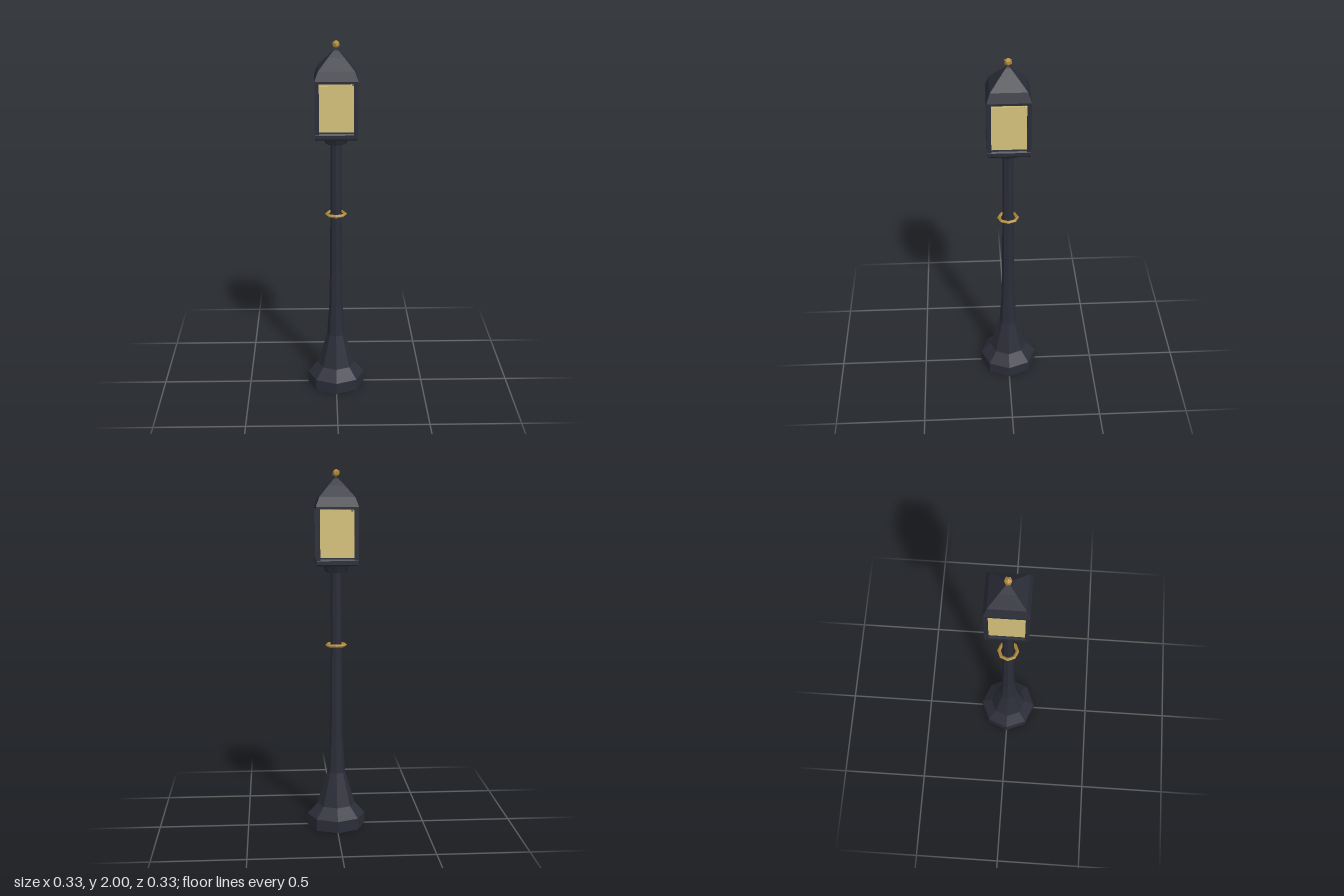
import * as THREE from 'three';

const paint = (color) => new THREE.MeshStandardMaterial({ color, flatShading: true });

export function createModel() {
  const lamp = new THREE.Group();
  lamp.name = 'streetLamp';
  const iron = paint(0x2b2d38), brass = paint(0xb08a3a), amber = paint(0xd6c27c);

  const add = (name, geometry, material, parent = lamp) => {
    const mesh = new THREE.Mesh(geometry, material);
    mesh.name = name;
    parent.add(mesh);
    return mesh;
  };
  // Profiles run from bottom to top as [radius, height]
  const octagonal = (profile) =>
    new THREE.LatheGeometry(profile.map(([r, y]) => new THREE.Vector2(r, y)), 8);
  // Same idea with a square plan, given as [half width, height]
  const square = (profile) =>
    new THREE.LatheGeometry(
      profile.map(([w, y]) => new THREE.Vector2(w * Math.SQRT2, y)), 4, Math.PI / 4);

  // Foot and flared column
  add('column', octagonal([
    [0, 0], [0.163, 0], [0.163, 0.065], [0.106, 0.125], [0.051, 0.31],
    [0.038, 0.5], [0.034, 0.72], [0.031, 1.1], [0.03, 1.46],
  ]), iron);

  // Brass ring part way up the column
  const ring = add('ring', new THREE.TorusGeometry(0.051, 0.01, 4, 8), brass);
  ring.rotation.x = Math.PI / 2;
  ring.position.y = 1.04;

  const lantern = new THREE.Group();
  lantern.name = 'lantern';
  lamp.add(lantern);

  // Collar and square tray under the lantern
  add('collar', octagonal([[0, 1.445], [0.058, 1.445], [0.076, 1.49], [0, 1.49]]), iron, lantern);
  add('tray', square([
    [0, 1.487], [0.107, 1.487], [0.113, 1.495], [0.113, 1.515], [0.107, 1.523], [0, 1.523],
  ]), iron, lantern);

  // Corner posts
  for (const x of [-1, 1]) for (const z of [-1, 1]) {
    const post = add('cornerPost', new THREE.BoxGeometry(0.022, 0.285, 0.022), iron, lantern);
    post.position.set(x * 0.103, 1.66, z * 0.103);
  }

  // Four glass panes, with a slim gap above and below
  for (let i = 0; i < 4; i++) {
    const pane = add('glassPane', new THREE.BoxGeometry(0.186, 0.247, 0.006), amber, lantern);
    const a = i * Math.PI / 2;
    pane.position.set(Math.sin(a) * 0.1, 1.654, Math.cos(a) * 0.1);
    pane.rotation.y = a;
  }

  // Curved four-sided roof
  add('roof', square([
    [0, 1.79], [0.115, 1.79], [0.115, 1.802], [0.096, 1.853],
    [0.044, 1.913], [0.012, 1.948], [0, 1.957],
  ]), iron, lantern);

  // Finial, turned so one point faces up
  const ball = new THREE.IcosahedronGeometry(0.022, 0);
  ball.rotateZ(Math.atan(2 / (1 + Math.sqrt(5))));
  add('finial', ball, brass, lantern).position.y = 1.978;

  return lamp;
}
